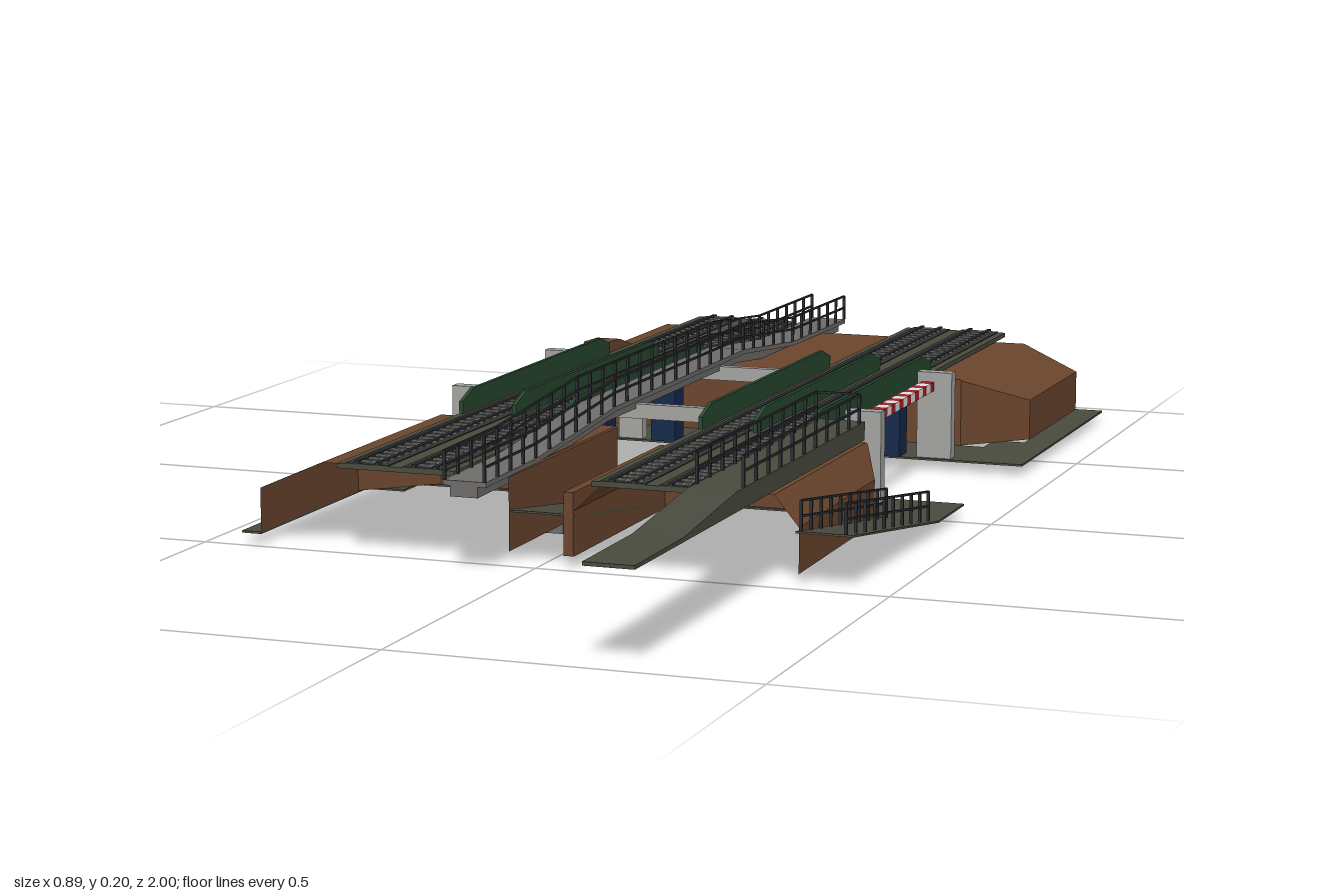
import * as THREE from 'three';
import { mergeGeometries } from 'three/addons/utils/BufferGeometryUtils.js';

const mat = (name, color, double = false) => {
  const m = new THREE.MeshStandardMaterial({ color });
  m.name = name;
  if (double) m.side = THREE.DoubleSide;
  return m;
};

export function createModel() {
  const root = new THREE.Group();
  const earth = mat('brown earth', 0x6b452d, true);
  const ground = mat('olive ground', 0x494a3e, true);
  const concrete = mat('grey concrete', 0x6e6c6a);
  const light = mat('light grey', 0xa3a3a0);
  const bed = mat('dark track bed', 0x34362f);
  const green = mat('girder green', 0x27482f);
  const navy = mat('navy pier', 0x14284a);
  const red = mat('barrier red', 0xa02222);
  const white = mat('barrier white', 0xdedede);
  const dark = mat('railing steel', 0x2c2e32);

  const add = (name, geo, m) => {
    const mesh = new THREE.Mesh(geo, m);
    mesh.name = name;
    root.add(mesh);
    return mesh;
  };
  // Box from its minimum and maximum corners
  const box = (x0, x1, y0, y1, z0, z1) =>
    new THREE.BoxGeometry(x1 - x0, y1 - y0, z1 - z0)
      .translate((x0 + x1) / 2, (y0 + y1) / 2, (z0 + z1) / 2);
  // Side outline of [z, y] points, extruded from x0 to x1
  const sideExtrude = (pts, x0, x1) => {
    const shape = new THREE.Shape(pts.map(([z, y]) => new THREE.Vector2(z, y)));
    return new THREE.ExtrudeGeometry(shape, { depth: x1 - x0, bevelEnabled: false })
      .rotateY(-Math.PI / 2).translate(x1, 0, 0);
  };
  // Thin bar between two points
  const bar = (a, b, t) => {
    const p = new THREE.Vector3(...a), q = new THREE.Vector3(...b);
    const g = new THREE.BoxGeometry(t, t, p.distanceTo(q));
    const o = new THREE.Object3D();
    o.position.copy(p).lerp(q, 0.5);
    o.lookAt(q);
    o.updateMatrix();
    return g.applyMatrix4(o.matrix);
  };
  // Railing along x, following a [z, y] path of floor points
  const railing = (name, x, path, h, step) => {
    const parts = [];
    for (let i = 0; i < path.length - 1; i++) {
      const [z0, y0] = path[i], [z1, y1] = path[i + 1];
      for (const k of [0.5, 1]) parts.push(bar([x, y0 + h * k, z0], [x, y1 + h * k, z1], 0.003));
      const n = Math.max(1, Math.round(Math.abs(z1 - z0) / step));
      for (let j = i ? 1 : 0; j <= n; j++) {
        const z = z0 + (z1 - z0) * j / n, y = y0 + (y1 - y0) * j / n;
        parts.push(box(x - 0.002, x + 0.002, y, y + h, z - 0.002, z + 0.002));
      }
    }
    add(name, mergeGeometries(parts), dark);
  };
  // Open earth shell lofted through sections; the first section is closed by a wall
  const embankment = (name, sections) => {
    const v = [];
    const tri = (...ps) => ps.forEach(p => v.push(...p));
    const end = sections[0];
    for (let i = 1; i < end.length - 1; i++) tri(end[0], end[i], end[i + 1]);
    for (let s = 0; s < sections.length - 1; s++) {
      const a = sections[s], b = sections[s + 1];
      for (let i = 0; i < a.length - 1; i++) {
        tri(a[i], b[i], b[i + 1]);
        tri(a[i], b[i + 1], a[i + 1]);
      }
    }
    const g = new THREE.BufferGeometry();
    g.setAttribute('position', new THREE.Float32BufferAttribute(v, 3));
    g.computeVertexNormals();
    add(name, g, earth);
  };
  const BASE = 0.017, SHOULDER = 0.08, TOP = 0.122;
  const section = (z, xo0, xi0, xi1, xo1, sh) => [
    [xo0, BASE, z], [xo0, sh, z], [xi0, TOP, z], [xi1, TOP, z], [xo1, sh, z], [xo1, BASE, z]];

  // Earth embankments with chamfered corners towards the opening
  embankment('backEmbankment', [
    section(-0.5, -0.327, -0.325, 0.31, 0.312, 0.12),
    section(-0.59, -0.42, -0.325, 0.31, 0.4, SHOULDER),
    section(-0.89, -0.42, -0.325, 0.31, 0.4, SHOULDER)]);
  embankment('frontRightEmbankment', [
    section(0.075, -0.327, -0.325, -0.047, -0.045, 0.12),
    section(0.165, -0.42, -0.325, -0.047, -0.045, 0.12).map((p, i) => i === 1 ? [p[0], SHOULDER, p[2]] : p),
    section(0.485, -0.42, -0.325, -0.047, -0.045, 0.12).map((p, i) => i === 1 ? [p[0], SHOULDER, p[2]] : p)]);
  embankment('frontLeftEmbankment', [
    section(0.075, 0.093, 0.095, 0.335, 0.337, 0.12),
    section(0.13, 0.05, 0.095, 0.335, 0.365, SHOULDER),
    section(0.485, 0.05, 0.095, 0.335, 0.37, SHOULDER)]);
  add('pathWall', box(0.035, 0.049, BASE, 0.105, 0.11, 0.485), earth);
  add('earthWedge', sideExtrude([[-0.5, 0.12], [-0.5, 0.148], [-0.56, 0.146], [-0.65, 0.12]], -0.325, -0.285), earth);

  // Ground strips around the embankments
  const slab = (x0, x1, z0, z1) => box(x0, x1, BASE - 0.003, BASE, z0, z1);
  add('ground', mergeGeometries([
    slab(-0.45, 0.445, -0.5, -0.375), slab(-0.45, -0.42, -0.89, -0.5), slab(0.4, 0.445, -0.89, -0.5),
    slab(-0.42, -0.36, -0.56, -0.5), slab(0.35, 0.4, -0.56, -0.5),
    slab(-0.45, 0.445, -0.05, 0.08), slab(-0.45, -0.42, 0.08, 0.485), slab(-0.42, -0.36, 0.08, 0.135),
  ]), ground);

  // Footpaths climbing out of the underpass
  const climb = [[0.08, BASE], [0.485, 0.075], [0.485, 0.072], [0.08, BASE - 0.003]];
  add('centrePath', sideExtrude(climb, -0.045, 0.05), ground);
  add('sidePath', sideExtrude(climb, 0.365, 0.445), ground);
  for (const x of [0.373, 0.435]) railing('pathRailing', x, [[0.1, 0.02], [0.485, 0.075]], 0.042, 0.045);

  // Two decks, each carrying two tracks between three girders
  const deck = (x0, x1) => {
    add('deck', box(x0, x1, 0.123, 0.13, -0.945, 0.52), ground);
    add('spanPlate', box(x0 + 0.006, x1 - 0.006, 0.118, 0.123, -0.49, 0.08), green);
    const w = x1 - x0, mid = (x0 + x1) / 2;
    for (const x of [x0 + 0.003, mid, x1 - 0.003])
      add('girder', sideExtrude([[0.1, 0.125], [0.1, 0.148], [0.06, 0.162], [-0.46, 0.162], [-0.5, 0.148], [-0.5, 0.125]],
        x - 0.003, x + 0.003), green);
    for (const c of [mid - w * 0.245, mid + w * 0.245]) {
      add('trackBed', box(c - 0.032, c + 0.032, 0.13, 0.1315, -0.945, 0.52), bed);
      const sleepers = [];
      for (let z = -0.935; z < 0.515; z += 0.024)
        sleepers.push(box(c - 0.024, c + 0.024, 0.1315, 0.133, z - 0.0035, z + 0.0035));
      add('sleepers', mergeGeometries(sleepers), light);
      add('rails', mergeGeometries([-0.016, 0.016].map(d =>
        box(c + d - 0.003, c + d + 0.003, 0.1315, 0.135, -0.945, 0.52))), dark);
    }
  };
  deck(-0.285, -0.11);
  deck(0.09, 0.262);

  // Piers and cross beams on both sides of the opening
  for (const z of [-0.022, -0.392]) {
    for (const [x0, x1] of [[-0.345, -0.29], [0.275, 0.33]])
      add('outerColumn', box(x0, x1, BASE, 0.151, z - 0.01, z + 0.01), light);
    for (const x of [-0.255, -0.14, 0.12, 0.23])
      add('navyPier', box(x - 0.02, x + 0.02, BASE, 0.118, z - 0.02, z + 0.02), navy);
    for (const x of [-0.198, 0.175])
      add('innerColumn', box(x - 0.02, x + 0.02, BASE, 0.118, z - 0.01, z + 0.01), light);
    add('crossBeam', box(-0.1, 0.088, 0.118, 0.14, z - 0.007, z + 0.007), light);
    add('beamPost', box(0.072, 0.088, BASE, 0.141, z - 0.01, z + 0.01), light);
  }

  // Striped barrier beams beside the decks
  for (const x of [-0.312, 0.292]) {
    const n = 17, len = 0.35 / n, stripes = [[], []];
    for (let i = 0; i < n; i++) {
      const z = -0.382 + i * len;
      stripes[i % 2].push(box(x - 0.01, x + 0.01, 0.122, 0.136, z, z + len));
    }
    add('barrierRedStripes', mergeGeometries(stripes[0]), red);
    add('barrierWhiteStripes', mergeGeometries(stripes[1]), white);
  }

  // Raised walkway between the decks, on two slim pillars
  const floor = [[0.58, 0.13], [0.4, 0.132], [0.1, 0.155], [-0.47, 0.155], [-0.72, 0.132], [-1, 0.13]];
  const under = d => floor.map(([z, y]) => [z, y - d]).reverse();
  add('walkway', sideExtrude([...floor, ...under(0.007)], -0.1, -0.038), concrete);
  add('walkwayBeam', sideExtrude([...floor.map(([z, y]) => [z, y - 0.006]), ...under(0.022)], -0.09, -0.05), concrete);
  for (const x of [-0.098, -0.04]) railing('walkwayRailing', x, floor, 0.04, 0.05);
  for (const z of [0.27, -0.685])
    add('walkwayPillar', box(-0.09, -0.05, 0, 0.126, z - 0.006, z + 0.006), concrete);

  // Long access ramp on the left side
  add('accessRamp', sideExtrude([[1, 0.131], [0.83, 0.132], [0.63, 0.153], [0.08, 0.153],
    [0.08, 0.126], [1, 0.126]], 0.266, 0.334), ground);
  for (const x of [0.268, 0.332]) railing('rampRailing', x, [[0.6, 0.153], [0.1, 0.153]], 0.042, 0.05);
  add('rampEndRail', bar([0.268, 0.195, 0.1], [0.332, 0.195, 0.1], 0.003), dark);

  return root;
}
